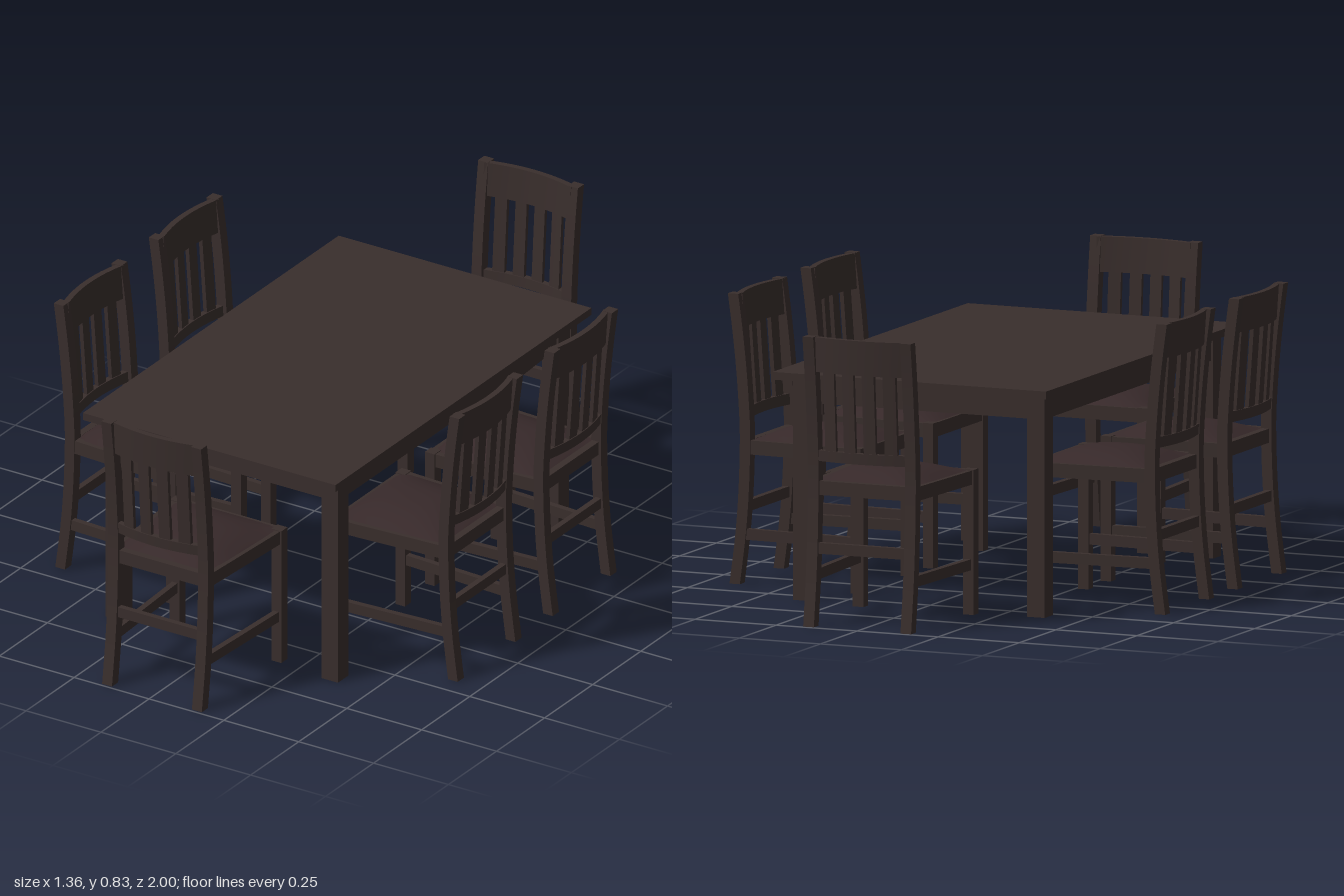
import * as THREE from 'three';

const wood = new THREE.MeshStandardMaterial({ color: 0x392e2c });
const seatMat = new THREE.MeshStandardMaterial({ color: 0x37292a });

function add(parent, name, geo, mat = wood) {
  const mesh = new THREE.Mesh(geo, mat);
  mesh.name = name;
  parent.add(mesh);
  return mesh;
}

// Box given by its limits on each axis
function block(x0, x1, y0, y1, z0, z1, sx = 1, sy = 1, sz = 1) {
  return new THREE.BoxGeometry(x1 - x0, y1 - y0, z1 - z0, sx, sy, sz)
    .translate((x0 + x1) / 2, (y0 + y1) / 2, (z0 + z1) / 2);
}

// Upright-sided beam between two points on the floor plan
function beam(x0, z0, x1, z1, y0, y1, t) {
  const len = Math.hypot(x1 - x0, z1 - z0);
  return new THREE.BoxGeometry(len, y1 - y0, t)
    .rotateY(-Math.atan2(z1 - z0, x1 - x0))
    .translate((x0 + x1) / 2, (y0 + y1) / 2, (z0 + z1) / 2);
}

// Move every vertex by a rule
function reshape(geo, rule) {
  const p = geo.attributes.position;
  const v = new THREE.Vector3();
  for (let i = 0; i < p.count; i++) {
    rule(v.fromBufferAttribute(p, i));
    p.setXYZ(i, v.x, v.y, v.z);
  }
  geo.computeVertexNormals();
  return geo;
}

// Back rails and slats lean backwards and bow out between the posts
function bowed(geo) {
  return reshape(geo, (v) => {
    v.z += 0.647 + 0.025 * (v.y - 0.47) / 0.356 - 0.022 * (v.x / 0.15) ** 2;
  });
}

// Curved back post, as a side profile extruded across its width
function postGeometry() {
  const w = 0.033;
  const centre = new THREE.SplineCurve([
    [0.656, 0], [0.638, 0.14], [0.628, 0.27], [0.624, 0.41],
    [0.627, 0.5], [0.636, 0.62], [0.648, 0.73], [0.661, 0.826],
  ].map(([z, y]) => new THREE.Vector2(z, y))).getPoints(16);
  const front = centre.map((p) => new THREE.Vector2(p.x - 0.016, p.y));
  const rear = centre.map((p) => new THREE.Vector2(p.x + 0.016, p.y)).reverse();
  return new THREE.ExtrudeGeometry(new THREE.Shape([...front, ...rear]), { depth: w, bevelEnabled: false })
    .translate(0, 0, -w / 2).rotateY(-Math.PI / 2);
}

// One chair whose back is towards +z
function makeChair() {
  const chair = new THREE.Group();
  chair.name = 'chair';

  for (const s of [-1, 1]) {
    add(chair, 'backPost', postGeometry()).position.x = s * 0.15;
    add(chair, 'frontLeg', block(s * 0.17 - 0.0165, s * 0.17 + 0.0165, 0, 0.413, 0.258, 0.29));
    add(chair, 'sideSeatRail', beam(s * 0.172, 0.27, s * 0.152, 0.625, 0.371, 0.411, 0.022));
    add(chair, 'sideStretcher', beam(s * 0.17, 0.275, s * 0.152, 0.635, 0.127, 0.158, 0.018));
  }
  add(chair, 'frontSeatRail', beam(-0.165, 0.272, 0.165, 0.272, 0.371, 0.411, 0.022));
  add(chair, 'backSeatRail', beam(-0.15, 0.622, 0.15, 0.622, 0.371, 0.411, 0.022));
  add(chair, 'backStretcher', beam(-0.145, 0.632, 0.145, 0.632, 0.205, 0.236, 0.018));

  // Domed, tapered seat
  add(chair, 'seat', reshape(new THREE.BoxGeometry(2, 1, 2, 12, 1, 12), (v) => {
    const { x, z } = v;
    const dome = (1 - Math.abs(x) ** 2.5) * (1 - Math.abs(z) ** 2.5);
    v.y = v.y > 0 ? 0.41 + 0.035 * dome : 0.385;
    v.x = x * (0.1625 - 0.0085 * z);
    v.z = 0.44 + 0.173 * z;
  }), seatMat);

  // Backrest
  const t = 0.009;
  add(chair, 'topRail', bowed(block(-0.145, 0.145, 0.725, 0.825, -t, t, 12)));
  add(chair, 'lowerBackRail', bowed(block(-0.145, 0.145, 0.469, 0.5, -t, t, 12)));
  for (let i = 0; i < 4; i++) {
    const x = (i - 1.5) * 0.062;
    add(chair, 'backSlat', bowed(block(x - 0.018, x + 0.018, 0.495, 0.73, -0.006, 0.006, 2, 2)));
  }
  return chair;
}

function makeTable() {
  const table = new THREE.Group();
  table.name = 'table';
  add(table, 'tableTop', block(-0.422, 0.422, 0.634, 0.656, -0.665, 0.665));
  for (const sx of [-1, 1]) {
    for (const sz of [-1, 1]) {
      const x = sx * 0.361, z = sz * 0.573, h = 0.0275;
      add(table, 'tableLeg', block(x - h, x + h, 0, 0.635, z - h, z + h));
    }
    add(table, 'sideApron', beam(sx * 0.372, -0.56, sx * 0.372, 0.56, 0.563, 0.635, 0.02));
    add(table, 'endApron', beam(-0.35, sx * 0.584, 0.35, sx * 0.584, 0.563, 0.635, 0.02));
  }
  table.position.set(0.003, 0, 0.027);
  return table;
}

export function createModel() {
  const model = new THREE.Group();
  model.name = 'diningSet';
  model.add(makeTable());

  // Chair places: x, z, turn
  const places = [
    [0.004, 0.319, 0], [0.004, -0.319, Math.PI],
    [0, 0.275, Math.PI / 2], [0, -0.219, Math.PI / 2],
    [0, 0.275, -Math.PI / 2], [0, -0.219, -Math.PI / 2],
  ];
  for (const [x, z, turn] of places) {
    const chair = makeChair();
    chair.position.set(x, 0, z);
    chair.rotation.y = turn;
    model.add(chair);
  }
  return model;
}
